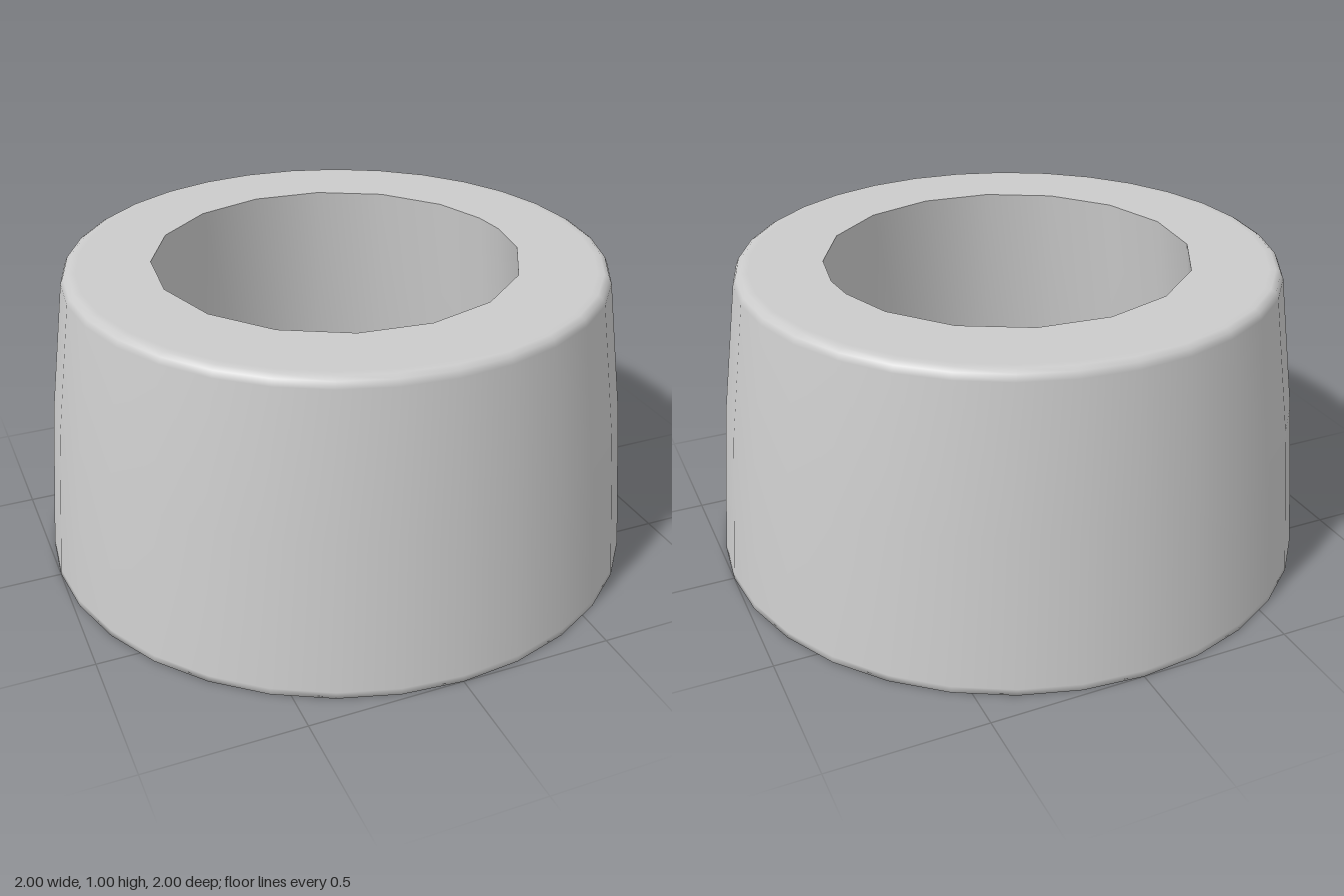
import * as THREE from 'three';
import { mergeGeometries, mergeVertices } from 'three/addons/utils/BufferGeometryUtils.js';

// Corner angles of the bore: even steps, with short sides next to its seam
const boreAngles = [0];
for (let i = 0; i < 15; i++) boreAngles.push(THREE.MathUtils.degToRad(17 + i * 22.43));
boreAngles.push(THREE.MathUtils.degToRad(349));
const rimAngles = Array.from({ length: 32 }, (_, i) => (i * Math.PI) / 16);

const ring = (angles, r, sign = 1) =>
  angles.map((a) => new THREE.Vector2(r * Math.cos(a), sign * r * Math.sin(a)));

// Flat ring with the bore cut out, facing up or down
function capGeometry(outer, inner, y, up) {
  const sign = up ? -1 : 1;
  const shape = new THREE.Shape(ring(rimAngles, outer, sign));
  shape.holes.push(new THREE.Path(ring(boreAngles, inner, sign)));
  return new THREE.ShapeGeometry(shape).rotateX((sign * Math.PI) / 2).translate(0, y, 0);
}

// Inward-facing wall through [radius, height] levels, listed bottom to top
function boreGeometry(levels) {
  const n = boreAngles.length, pos = [], index = [];
  for (const [r, y] of levels) for (const p of ring(boreAngles, r)) pos.push(p.x, y, p.y);
  for (let l = 0; l < levels.length - 1; l++) {
    for (let i = 0; i < n; i++) {
      const a = l * n + i, b = l * n + ((i + 1) % n);
      index.push(a, b, a + n, b, b + n, a + n);
    }
  }
  const g = new THREE.BufferGeometry();
  g.setAttribute('position', new THREE.Float32BufferAttribute(pos, 3));
  g.setIndex(index);
  return g;
}

// Weld surfaces along shared edges so the shading runs smoothly across them
function weld(geometries) {
  for (const g of geometries) {
    g.deleteAttribute('normal');
    g.deleteAttribute('uv');
  }
  const g = mergeVertices(mergeGeometries(geometries));
  g.computeVertexNormals();
  return g;
}

export function createModel() {
  const group = new THREE.Group();
  group.name = 'taperedRing';
  const material = new THREE.MeshStandardMaterial({ color: 0xcccccc });
  const add = (name, geometry) => {
    const mesh = new THREE.Mesh(geometry, material);
    mesh.name = name;
    group.add(mesh);
  };

  // Tapered outer wall with a rounded top edge
  const profile = [
    [1, 0], [0.998, 0.02], [0.952, 0.52], [0.887, 0.97], [0.878, 0.99], [0.862, 1], [0.84, 1],
  ].map(([r, y]) => new THREE.Vector2(r, y));
  const outerWall = new THREE.LatheGeometry(profile, 32);

  // Flat underside and a bore that widens steadily towards it
  const underside = capGeometry(1, 0.7, 0, false);
  const bore = boreGeometry([[0.7, 0], [0.688, 0.02], [0.6, 1]]);
  add('body', weld([outerWall, underside, bore]));

  // Flat top face with a sharp edge around the hole
  add('topFace', capGeometry(0.84, 0.6, 1, true));
  return group;
}
